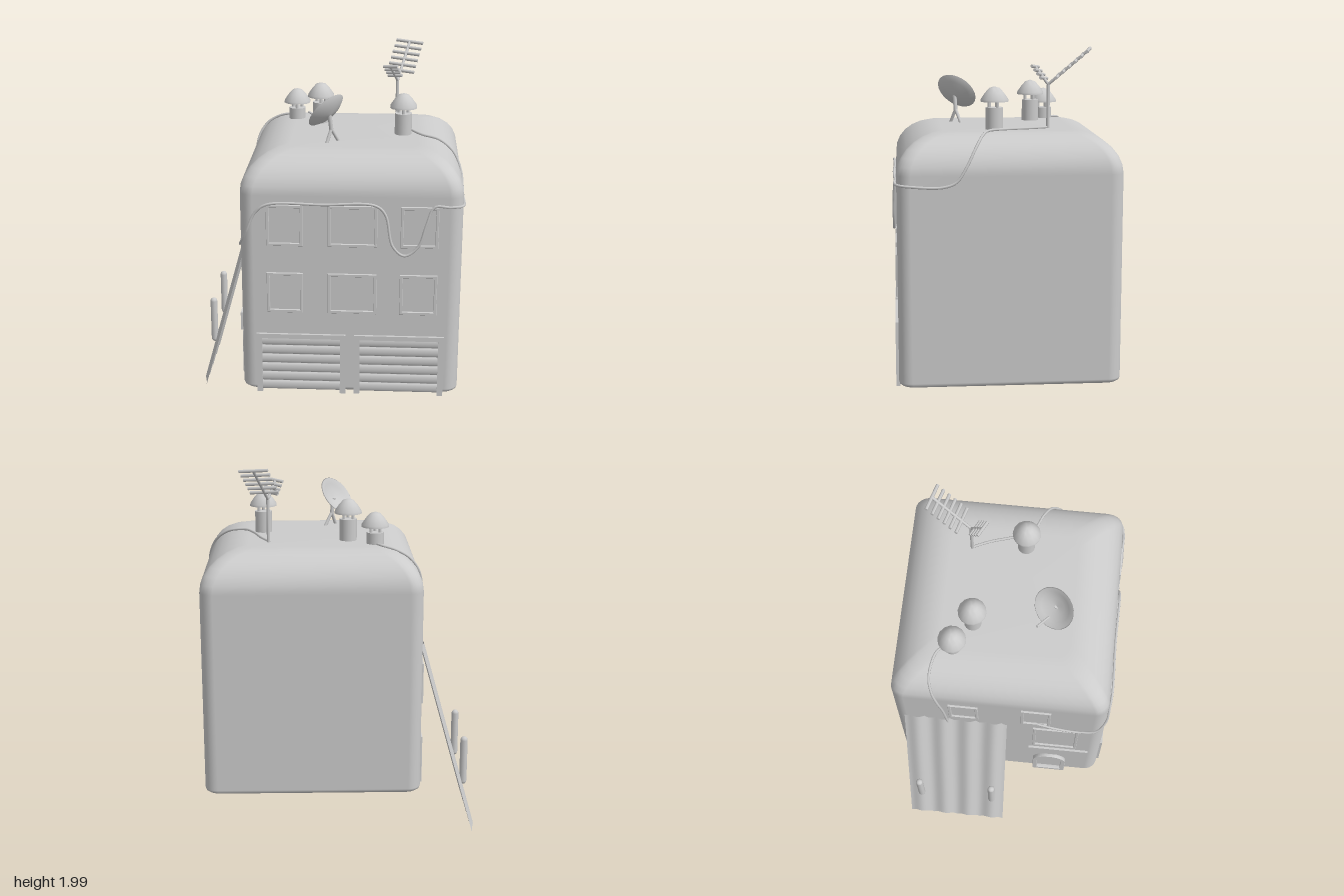
import * as THREE from 'three';
import { toCreasedNormals } from 'three/addons/utils/BufferGeometryUtils.js';

const grey = new THREE.MeshStandardMaterial({ color: 0xcccccc });
const thin = new THREE.MeshStandardMaterial({ color: 0xcccccc, side: THREE.DoubleSide });
const V = (x, y, z) => new THREE.Vector3(x, y, z);

function add(parent, name, geometry, x = 0, y = 0, z = 0, material = grey) {
  const mesh = new THREE.Mesh(geometry, material);
  mesh.name = name;
  mesh.position.set(x, y, z);
  parent.add(mesh);
  return mesh;
}

// Straight round bar between two points
function bar(parent, name, a, b, r, sides = 8) {
  const dir = b.clone().sub(a);
  const mid = a.clone().add(b).multiplyScalar(0.5);
  const mesh = add(parent, name, new THREE.CylinderGeometry(r, r, dir.length(), sides), mid.x, mid.y, mid.z);
  mesh.quaternion.setFromUnitVectors(V(0, 1, 0), dir.normalize());
  return mesh;
}

function cable(parent, name, points) {
  const curve = new THREE.CatmullRomCurve3(points.map((p) => V(...p)), false, 'centripetal');
  add(parent, name, new THREE.TubeGeometry(curve, points.length * 8, 0.007, 6));
}

// Building block: rounded-square rings lofted from floor to roof
function bodyGeometry() {
  const half = 0.5775, r = 0.07, steps = 6, rings = [];
  for (let i = 0; i <= 3; i++) {
    const t = (i / 3) * Math.PI / 2;
    rings.push([0.295 - 0.025 * Math.cos(t), 0.025 * (1 - Math.sin(t))]);
  }
  for (let i = 0; i <= 7; i++) {
    const t = (i / 7) * Math.PI / 2;
    rings.push([1.37 + 0.2 * Math.sin(t), 0.24 * (1 - Math.cos(t))]);
  }
  const pos = [], idx = [], n = 4 * (steps + 1);
  for (const [y, inset] of rings) {
    for (let q = 0; q < 4; q++) {
      for (let s = 0; s <= steps; s++) {
        const a = (q + s / steps) * Math.PI / 2, c = half - inset - r;
        const cx = q === 0 || q === 3 ? c : -c, cz = q < 2 ? -c : c;
        pos.push(cx + r * Math.cos(a), y, cz - r * Math.sin(a));
      }
    }
  }
  for (let i = 0; i < rings.length - 1; i++) {
    for (let j = 0; j < n; j++) {
      const a = i * n + j, b = i * n + (j + 1) % n;
      idx.push(a, b, b + n, a, b + n, a + n);
    }
  }
  const low = pos.length / 3, top = (rings.length - 1) * n;
  pos.push(0, rings[0][0], 0, 0, 1.57, 0);
  for (let j = 0; j < n; j++) {
    const k = (j + 1) % n;
    idx.push(low, k, j, low + 1, top + j, top + k);
  }
  const g = new THREE.BufferGeometry();
  g.setAttribute('position', new THREE.Float32BufferAttribute(pos, 3));
  g.setIndex(idx);
  g.computeVertexNormals();
  return g;
}

// Rectangular or arched outline, centred on x and standing on y = 0
function outline(Kind, w, h, inset, arched) {
  const s = new Kind(), x = w / 2 - inset, top = h - inset;
  s.moveTo(-x, inset);
  s.lineTo(x, inset);
  if (arched) s.absarc(0, h - w / 2, x, 0, Math.PI, false);
  else s.lineTo(x, top).lineTo(-x, top);
  s.lineTo(-x, inset);
  return s;
}

function frame(parent, name, x0, x1, y0, y1, { t = 0.016, depth = 0.012, arched = false } = {}) {
  const w = x1 - x0, h = y1 - y0;
  const s = outline(THREE.Shape, w, h, 0, arched);
  s.holes.push(outline(THREE.Path, w, h, t, arched));
  const g = new THREE.ExtrudeGeometry(s, {
    depth, curveSegments: 10, bevelThickness: 0.003, bevelSize: 0.002, bevelOffset: -0.002, bevelSegments: 1,
  });
  add(parent, name, toCreasedNormals(g, 0.6), (x0 + x1) / 2, y0, -0.005);
}

// Garage door: three-sided surround with a ribbed shutter
function garage(parent, x0, x1) {
  const w = x1 - x0, mid = (x0 + x1) / 2;
  for (const x of [x0 + 0.015, x1 - 0.015]) {
    add(parent, 'garagePost', new THREE.BoxGeometry(0.03, 0.325, 0.022), x, 0.425, 0.004);
  }
  add(parent, 'garageLintel', new THREE.BoxGeometry(w, 0.025, 0.022), mid, 0.59, 0.004);
  for (let i = 0; i < 6; i++) {
    const slat = new THREE.CylinderGeometry(0.025, 0.025, w - 0.06, 12);
    slat.rotateZ(Math.PI / 2).scale(1, 1, 0.4);
    add(parent, 'shutterSlat', slat, mid, 0.3 + i * 0.052, 0);
  }
}

function chimney(parent, x, z, h) {
  const g = new THREE.Group();
  g.name = 'chimney';
  g.position.set(x, 1.56, z);
  parent.add(g);
  add(g, 'pipe', new THREE.CylinderGeometry(0.046, 0.046, h, 16), 0, h / 2, 0);
  for (let i = 0; i < 3; i++) {
    const a = i * Math.PI * 2 / 3;
    add(g, 'capStrut', new THREE.CylinderGeometry(0.009, 0.009, 0.06, 6), 0.028 * Math.sin(a), h + 0.02, 0.028 * Math.cos(a));
  }
  const profile = [[0, 0.012], [0.06, 0.005], [0.074, 0], [0.073, 0.012], [0.05, 0.045], [0.028, 0.07], [0, 0.079]];
  add(g, 'cap', toCreasedNormals(new THREE.LatheGeometry(profile.map((p) => new THREE.Vector2(...p)), 14), 0.9), 0, h + 0.03, 0);
}

// Antenna boom carrying evenly spaced cross bars
function boom(parent, a, b, across, count, length, from) {
  bar(parent, 'antennaBoom', a, b, 0.008);
  const dir = across.clone().normalize().multiplyScalar(length / 2);
  for (let i = 0; i < count; i++) {
    const p = a.clone().lerp(b, from + (1 - from) * i / (count - 1));
    bar(parent, 'antennaCrossBar', p.clone().sub(dir), p.clone().add(dir), 0.009, 6);
  }
}

export function createModel() {
  const model = new THREE.Group();
  add(model, 'building', bodyGeometry(), 0.1425, 0, -0.0075);

  // Front wall
  const front = new THREE.Group();
  front.name = 'frontWall';
  front.position.z = 0.57;
  model.add(front);
  for (const [x0, x1] of [[-0.295, -0.105], [0.025, 0.28], [0.4, 0.595]]) {
    for (const y of [0.727, 1.1]) frame(front, 'windowFrame', x0, x1, y, y + 0.223);
  }
  garage(front, -0.355, 0.12);
  garage(front, 0.165, 0.64);

  // Right wall, where the group's x runs along z
  const side = new THREE.Group();
  side.name = 'rightWall';
  side.rotation.y = -Math.PI / 2;
  side.position.x = -0.435;
  model.add(side);
  frame(side, 'windowFrame', 0.11, 0.27, 1.13, 1.34);
  frame(side, 'windowFrame', -0.28, -0.12, 1.13, 1.32);
  frame(side, 'windowFrame', 0.18, 0.43, 0.74, 1.05);
  frame(side, 'windowFrame', -0.5, -0.27, 0.75, 0.97);
  frame(side, 'windowFrame', -0.5, -0.26, 0.3, 0.56);
  frame(side, 'archedDoorFrame', 0.19, 0.38, 0.275, 0.55, { t: 0.026, depth: 0.022, arched: true });
  add(side, 'signBoard', new THREE.BoxGeometry(0.34, 0.1, 0.02), 0.33, 0.635, 0.002);

  // Corrugated sheet leaning on the right wall, with a wavy foot
  const sheet = new THREE.PlaneGeometry(1, 1, 48, 4);
  const p = sheet.attributes.position;
  for (let i = 0; i < p.count; i++) {
    const u = p.getX(i) + 0.5, v = p.getY(i) + 0.5;
    const wave = Math.cos(u * Math.PI * 8);
    const lift = (1 - v) * 0.035 * Math.abs(Math.sin(u * Math.PI * 4));
    const y = 0.005 + 1.07 * v + lift;
    p.setXYZ(i, -0.738 + 0.28 * y + 0.01 * wave, y, -0.53 + 0.565 * u);
  }
  sheet.computeVertexNormals();
  add(model, 'corrugatedSheet', sheet, 0, 0, 0, thin);
  for (const z of [-0.455, -0.035]) {
    add(model, 'sheetPeg', new THREE.CapsuleGeometry(0.02, 0.235, 4, 10), -0.675, 0.405, z);
  }

  // Roof chimneys
  chimney(model, -0.195, -0.27, 0.07);
  chimney(model, -0.055, -0.18, 0.125);
  chimney(model, 0.405, 0.055, 0.125);

  // Satellite dish on a forked stand
  const bowl = [[0, -0.034], [0.045, -0.028], [0.085, -0.013], [0.115, 0.006], [0.11, 0.009], [0.082, -0.004], [0.045, -0.018], [0, -0.024]];
  const dish = add(model, 'dish', new THREE.LatheGeometry(bowl.map((q) => new THREE.Vector2(...q)), 24), 0, 1.735, 0.235, thin);
  dish.quaternion.setFromUnitVectors(V(0, 1, 0), V(-0.65, 0.6, -0.47).normalize());
  bar(model, 'dishFeed', V(-0.03, 1.68, 0.21), V(-0.1, 1.71, 0.155), 0.006);
  bar(model, 'dishStand', V(0.015, 1.72, 0.245), V(0.025, 1.635, 0.24), 0.011);
  bar(model, 'dishLeg', V(0.025, 1.64, 0.24), V(0.065, 1.56, 0.21), 0.009);
  bar(model, 'dishLeg', V(0.025, 1.64, 0.24), V(0.0, 1.56, 0.27), 0.009);

  // Forked aerial
  const fork = V(0.37, 1.8, -0.23);
  bar(model, 'antennaMast', V(0.37, 1.55, -0.23), fork, 0.009);
  boom(model, fork, V(0.435, 1.98, -0.43), V(1, -0.08, 0.27), 6, 0.155, 0.25);
  boom(model, fork, V(0.33, 1.89, -0.165), V(0.8, 0.1, 0.45), 4, 0.09, 0.35);

  // Cables
  cable(model, 'antennaCable', [
    [0.37, 1.575, -0.23], [0.41, 1.575, -0.14], [0.46, 1.575, 0.01], [0.51, 1.575, 0.09], [0.6, 1.56, 0.13],
    [0.675, 1.505, 0.17], [0.715, 1.42, 0.215], [0.725, 1.34, 0.27], [0.725, 1.315, 0.34], [0.724, 1.32, 0.5],
    [0.707, 1.325, 0.557], [0.65, 1.325, 0.577], [0.57, 1.325, 0.578], [0.53, 1.23, 0.584], [0.49, 1.11, 0.584],
    [0.42, 1.06, 0.584], [0.36, 1.11, 0.582], [0.32, 1.28, 0.578], [0.27, 1.328, 0.582], [0, 1.328, 0.578],
    [-0.29, 1.325, 0.582], [-0.35, 1.28, 0.577], [-0.4, 1.17, 0.568], [-0.437, 1.09, 0.52], [-0.443, 1.07, 0.43],
    [-0.444, 1.1, 0.3], [-0.45, 1.17, 0.2],
  ]);
  cable(model, 'chimneyCable', [
    [-0.19, 1.575, -0.29], [-0.23, 1.572, -0.345], [-0.3, 1.555, -0.37], [-0.37, 1.515, -0.376], [-0.42, 1.445, -0.36],
    [-0.441, 1.35, -0.335], [-0.442, 1.22, -0.31], [-0.444, 1.04, -0.29],
  ]);
  return model;
}
